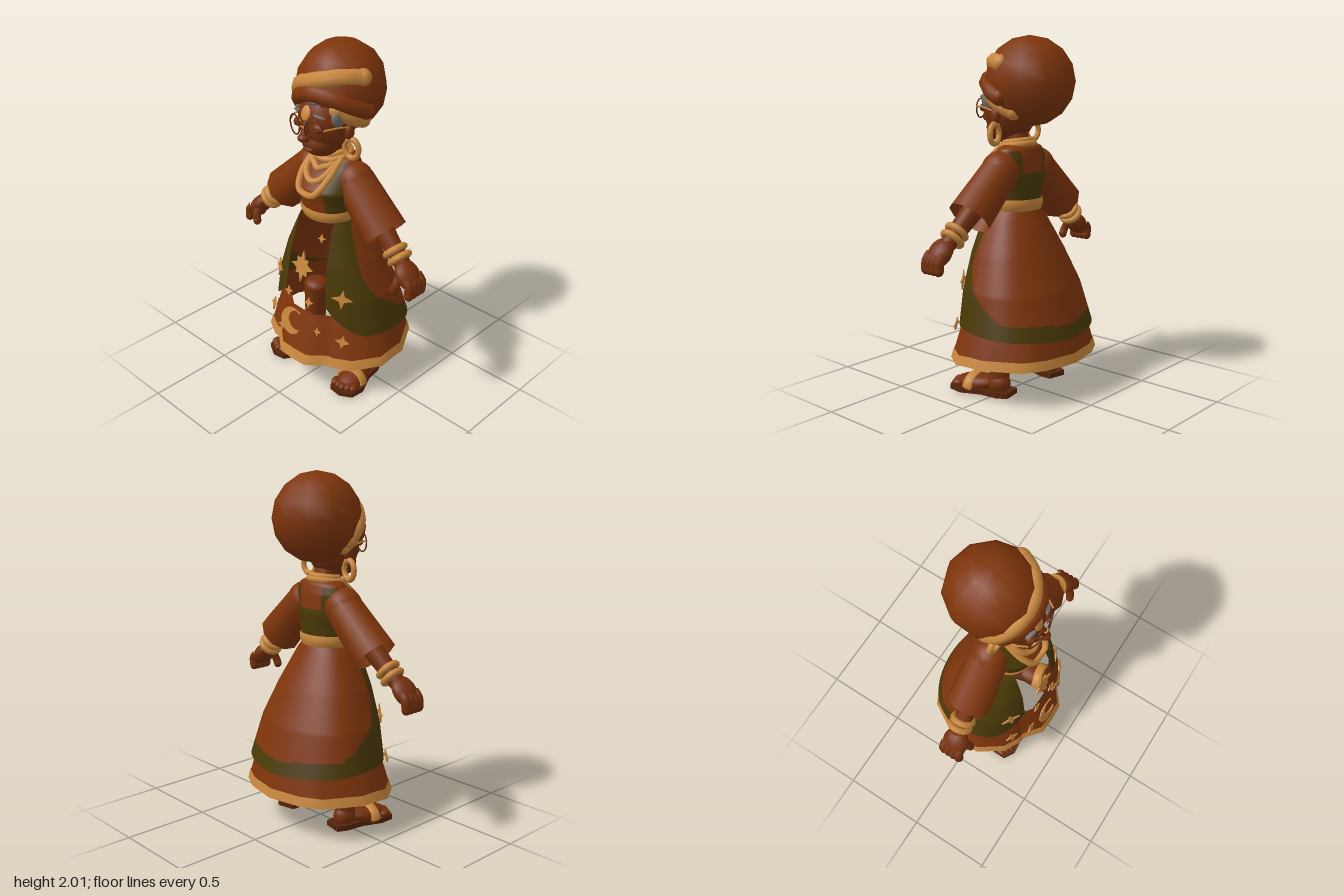
import * as THREE from 'three';
import { mergeVertices } from 'three/addons/utils/BufferGeometryUtils.js';

const V = (x, y, z) => new THREE.Vector3(x, y, z);
const lerp = THREE.MathUtils.lerp;
const mat = (name, color, side = THREE.FrontSide) =>
  Object.assign(new THREE.MeshStandardMaterial({ color, side }), { name });

// piecewise-linear lookup in rows of [y, ...values], y falling
function profile(rows, y) {
  for (let i = 1; i < rows.length; i++) {
    if (y >= rows[i][0] || i === rows.length - 1) {
      const a = rows[i - 1], b = rows[i];
      const t = THREE.MathUtils.clamp((a[0] - y) / (a[0] - b[0]), 0, 1);
      return a.map((v, k) => lerp(v, b[k], t));
    }
  }
}

// surface from f(u, v); rule(u, v, centre) picks a material index per cell
function loft(nu, nv, f, rule = () => 0) {
  const pos = [], cells = [];
  for (let j = 0; j <= nv; j++) for (let i = 0; i <= nu; i++) pos.push(...f(i / nu, j / nv));
  for (let j = 0; j < nv; j++) for (let i = 0; i < nu; i++) {
    const a = j * (nu + 1) + i, b = a + nu + 1;
    const u = (i + 0.5) / nu, v = (j + 0.5) / nv;
    (cells[rule(u, v, f(u, v))] ??= []).push(a, b, a + 1, b, b + 1, a + 1);
  }
  let g = new THREE.BufferGeometry();
  g.setAttribute('position', new THREE.Float32BufferAttribute(pos, 3));
  g.setIndex(cells.flat());
  let start = 0;
  cells.forEach((c, k) => { g.addGroup(start, c.length, k); start += c.length; });
  g = mergeVertices(g, 1e-5);
  g.computeVertexNormals();
  return g;
}

const SKIRT = [[1.04, 0.15, 0.21, -0.08], [1, 0.18, 0.22, -0.1], [0.8, 0.28, 0.265, -0.2],
  [0.6, 0.36, 0.29, -0.29], [0.35, 0.415, 0.305, -0.368]];
const TORSO = [[1.42, 0.07, 0.08, -0.03], [1.385, 0.15, 0.1, -0.07], [1.33, 0.185, 0.15, -0.085],
  [1.22, 0.19, 0.24, -0.095], [1.15, 0.165, 0.225, -0.09], [1.03, 0.15, 0.205, -0.08]];
const HEM = [[0, 0.385], [0.1, 0.38], [0.2, 0.3], [0.24, 0.295], [0.34, 0.24], [0.44, 0.1],
  [0.435, -0.08], [0.32, -0.28], [0.2, -0.345], [0, -0.385]];

function ringPoint(rows, y, a, p = 1) {
  const [, w, f, b] = profile(rows, y), c = Math.cos(a);
  return [w * Math.sin(a), y, (f + b) / 2 + (f - b) / 2 * Math.sign(c) * Math.abs(c) ** p];
}

export function createModel() {
  const root = new THREE.Group();
  const D = THREE.DoubleSide;
  const cloth = mat('rustCloth', 0x7e350b, D), skin = mat('skin', 0x74300b);
  const gold = mat('gold', 0xc8873d, D), olive = mat('olive', 0x4a3906, D);
  const grey = mat('greyHair', 0x706a64), sole = mat('sandalSole', 0x56240b);

  const add = (name, geo, m, p = [0, 0, 0], r = [0, 0, 0], s = [1, 1, 1], parent = root) => {
    const o = new THREE.Mesh(geo, m);
    o.name = name;
    o.position.set(...p); o.rotation.set(...r); o.scale.set(...s);
    parent.add(o);
    return o;
  };
  const ball = (name, m, p, s, r, parent) => add(name, new THREE.SphereGeometry(1, 16, 12), m, p, r, s, parent);
  const tube = (name, m, pts, r, parent, seg = 24) =>
    add(name, new THREE.TubeGeometry(new THREE.CatmullRomCurve3(pts), seg, r, 8), m, undefined, undefined, undefined, parent);
  const limb = (name, m, a, b, ra, rb, parent, open = false, sides = 12) => {
    const d = b.clone().sub(a);
    const o = add(name, new THREE.CylinderGeometry(rb, ra, d.length(), sides, 1, open), m, undefined, undefined, undefined, parent);
    o.position.copy(a).add(b).multiplyScalar(0.5);
    o.quaternion.setFromUnitVectors(V(0, 1, 0), d.normalize());
    return o;
  };

  // underskirt with gold hem, open above the front panel
  const under = (v0, v1, grow) => (u, v) => {
    const s = (u < 0.5 ? u : 1 - u) * 2 * (HEM.length - 1), k = Math.min(Math.floor(s), HEM.length - 2);
    const x = lerp(HEM[k][0], HEM[k + 1][0], s - k) * (u < 0.5 ? 1 : -1);
    const z = lerp(HEM[k][1], HEM[k + 1][1], s - k), t = lerp(v1, v0, v);
    const low = 0.21 - 0.03 * Math.max(0, z / 0.385);
    return [x * lerp(1, 0.82, t) * grow, lerp(low, 0.475, t), z * lerp(1, z > 0 ? 0.75 : 0.85, t) * grow];
  };
  add('underskirt', loft(36, 4, under(0, 1, 1)), cloth);
  add('underskirtHem', loft(36, 1, under(0, 0.2, 1.012)), gold);

  // overskirt: olive front panels and back hem around a rust back
  const bottom = (h) => (h < 0.3 ? 0.39 + 0.16 * (1 - h / 0.3) ** 2 : lerp(0.395, 0.35, (h - 0.3) / 0.7));
  const half = (u) => 1 - Math.abs(2 * u - 1);
  const over = (u, v) => {
    const y = lerp(1.04, bottom(half(u)), v);
    const a0 = Math.asin(Math.min(0.9, (0.125 + 0.035 * v) / profile(SKIRT, y)[1]));
    return ringPoint(SKIRT, y, lerp(a0, 2 * Math.PI - a0, u), 0.8);
  };
  add('overskirt', loft(140, 64, over, (u, v, c) => {
    const h = half(u);
    return h > 0.3 && c[1] > bottom(h) + 0.08 + 0.26 * (Math.max(0, 0.62 - h) / 0.32) ** 2 ? 1 : 0;
  }), [olive, cloth]);

  // bodice and belt
  add('bodice', loft(120, 48, (u, v) => ringPoint(TORSO, lerp(1.42, 1.03, v), u * 2 * Math.PI, 0.9),
    (u, v, [x, y, z]) => {
      if (y > 1.375) return 0;
      if (z > 0.03) return Math.abs(x) > 0.09 ? 1 : 0;
      return y < 1.25 || Math.abs(x) > 0.085 ? 1 : 0;
    }), [cloth, olive]);
  add('belt', loft(32, 4, (u, v) => {
    const [x, y, z] = ringPoint(TORSO, lerp(1.1, 1.035, v), u * 2 * Math.PI, 0.9);
    const g = 1.03 + 0.05 * Math.sin(v * Math.PI);
    return [x * g, y, (z - 0.06) * g + 0.06];
  }), gold);

  // necklaces
  for (const [r, y, z] of [[0.075, 1.415, 0.035], [0.095, 1.395, 0.04]])
    add('collarRing', new THREE.TorusGeometry(r, 0.018, 8, 24), gold, [0, y, z], [Math.PI / 2 + 0.15, 0, 0]);
  for (const [w, y] of [[0.065, 1.33], [0.08, 1.27], [0.095, 1.2]]) {
    const at = (x, h) => V(x, h, profile(TORSO, h)[2] * (1 - 4 * x * x) + 0.012);
    tube('necklace', gold, [V(-w, 1.395, 0.07), at(-w, lerp(1.385, y, 0.5)), at(-w * 0.6, y + 0.017), at(0, y),
      at(w * 0.6, y + 0.017), at(w, lerp(1.385, y, 0.5)), V(w, 1.395, 0.07)], 0.018);
  }

  // limbs, built for the left and mirrored
  for (const side of [1, -1]) {
    const S = (x, y, z) => V(side * x, y, z);
    const label = side > 0 ? 'left' : 'right';
    const arm = new THREE.Group(), leg = new THREE.Group();
    arm.name = label + 'Arm'; leg.name = label + 'Leg';
    root.add(arm, leg);

    ball('shoulder', cloth, [side * 0.15, 1.262, 0.03], [0.112, 0.112, 0.108], undefined, arm);
    limb('sleeve', cloth, S(0.15, 1.262, 0.03), S(0.39, 1.03, 0.04), 0.11, 0.126, arm, true, 10);
    limb('forearm', skin, S(0.25, 1.17, 0.03), S(0.54, 0.9, 0.06), 0.068, 0.045, arm);
    const dir = S(0.29, -0.27, 0.03).normalize();
    for (const [x, y] of [[0.472, 0.965], [0.505, 0.932]])
      add('bracelet', new THREE.TorusGeometry(0.055, 0.019, 8, 20), gold, [side * x, y, 0.053], undefined, undefined, arm)
        .quaternion.setFromUnitVectors(V(0, 0, 1), dir);
    ball('palm', skin, [side * 0.58, 0.865, 0.07], [0.05, 0.09, 0.076], [0, 0, side * 0.7], arm);
    for (let i = 0; i < 4; i++) {
      const z = 0.022 + i * 0.032;
      tube('finger', skin, [S(0.6, 0.865, z), S(0.632, 0.83, z), S(0.634, 0.785, z + 0.004)], 0.027, arm, 6);
      ball('fingertip', skin, [side * 0.634, 0.785, z + 0.004], [0.027, 0.032, 0.027], undefined, arm);
    }
    tube('thumb', skin, [S(0.56, 0.87, 0.11), S(0.555, 0.825, 0.135), S(0.545, 0.79, 0.142)], 0.024, arm, 6);
    ball('thumbTip', skin, [side * 0.545, 0.79, 0.142], [0.024, 0.028, 0.024], undefined, arm);

    // leg ending just under the skirt front, and sandal with toes turned out
    limb('shin', skin, S(0.215, 0.06, -0.01), S(0.175, 0.44, 0.01), 0.058, 0.076, leg);
    ball('knee', skin, [side * 0.175, 0.44, 0.01], [0.076, 0.045, 0.076], undefined, leg);
    const foot = new THREE.Group();
    foot.name = 'foot';
    foot.position.set(side * 0.235, 0, 0.065);
    foot.rotation.y = side * 0.2;
    leg.add(foot);
    const oval = new THREE.Shape([[-0.055, -0.165], [0.055, -0.165], [0.075, -0.1], [0.07, 0], [0.1, 0.12],
      [0.075, 0.2], [0, 0.225], [-0.075, 0.2], [-0.09, 0.12], [-0.065, 0], [-0.07, -0.1]].map(([x, z]) => new THREE.Vector2(x, -z)));
    add('sole', new THREE.ExtrudeGeometry(oval, { depth: 0.03, bevelEnabled: false }), sole, [0, 0, 0], [-Math.PI / 2, 0, 0], undefined, foot);
    ball('footTop', skin, [0, 0.045, 0.065], [0.078, 0.05, 0.14], [0.15, 0, 0], foot);
    ball('heel', skin, [0, 0.065, -0.08], [0.058, 0.065, 0.07], undefined, foot);
    add('strap', new THREE.TorusGeometry(0.078, 0.014, 8, 20, Math.PI), gold, [0, 0.025, 0.085], [-0.15, 0, 0], [1.02, 0.9, 2.3], foot);
    for (let i = -2; i <= 2; i++)
      ball('toe', skin, [i * 0.031, 0.042, 0.18 - Math.abs(i) * 0.01], [0.023, 0.02, 0.034], undefined, foot);

    // earrings, ears, side hair, spectacles and closed eyes
    add('earring', new THREE.TorusGeometry(0.047, 0.015, 8, 24), gold, [side * 0.16, 1.465, 0.065], [0, side * 0.15, 0], [0.95, 1.15, 1.1]);
    ball('ear', skin, [side * 0.148, 1.56, 0.07], [0.025, 0.045, 0.03]);
    ball('sideHair', grey, [side * 0.133, 1.64, 0.145], [0.024, 0.05, 0.034], [0.5, 0, 0]);
    ball('eyebrow', grey, [side * 0.08, 1.667, 0.225], [0.036, 0.007, 0.012], [0, side * 0.35, side * -0.2]);
    ball('eyelid', skin, [side * 0.068, 1.6, 0.222], [0.038, 0.025, 0.024]);
    tube('eyeLine', sole, [S(0.035, 1.6, 0.247), S(0.068, 1.59, 0.25), S(0.1, 1.6, 0.234)], 0.003, root, 8);
    add('lensRim', new THREE.TorusGeometry(0.054, 0.004, 6, 24), sole, [side * 0.07, 1.595, 0.254], [0, side * 0.3, 0]);
    tube('temple', gold, [S(0.12, 1.605, 0.24), S(0.155, 1.61, 0.17), S(0.155, 1.59, 0.08)], 0.005, root, 10);
  }

  // head
  limb('neck', skin, V(0, 1.36, 0.02), V(0, 1.5, 0.06), 0.068, 0.065);
  ball('head', skin, [0, 1.6, 0.09], [0.15, 0.185, 0.155]);
  ball('jaw', skin, [0, 1.49, 0.125], [0.108, 0.088, 0.112]);
  ball('nose', skin, [0, 1.54, 0.25], [0.034, 0.026, 0.045]);
  limb('noseBridge', skin, V(0, 1.55, 0.258), V(0, 1.63, 0.232), 0.024, 0.014);
  ball('lips', sole, [0, 1.477, 0.228], [0.042, 0.005, 0.014]);
  ball('lowerLip', skin, [0, 1.465, 0.228], [0.036, 0.012, 0.017]);
  ball('foreheadMark', gold, [-0.012, 1.665, 0.228], [0.032, 0.042, 0.012], [-0.35, 0, 0]);
  ball('frontHair', grey, [0, 1.725, 0.192], [0.055, 0.018, 0.03]);
  tube('spectacleBridge', gold, [V(-0.018, 1.6, 0.267), V(0, 1.608, 0.274), V(0.018, 1.6, 0.267)], 0.005, root, 6);

  // head wrap with rolled bands laid on its surface
  const C = V(-0.014, 1.75, -0.04), R = V(0.246, 0.25, 0.255);
  add('headWrap', new THREE.SphereGeometry(1, 11, 8), cloth, C.toArray(), [0, 0.2, 0], R.toArray());
  const wrap = (name, m, r, depth, dirs) => {
    const pts = dirs.map((d) => V(...d).sub(C).divide(R).normalize().multiplyScalar(depth).multiply(R).add(C));
    tube(name, m, pts, r);
    for (const p of [pts[0], pts.at(-1)]) ball(name + 'End', m, p.toArray(), [r, r, r]);
  };
  wrap('upperBand', gold, 0.05, 0.87, [[-0.22, 1.6, 0.05], [-0.21, 1.7, 0.12], [-0.12, 1.79, 0.18], [0.02, 1.84, 0.18], [0.14, 1.87, 0.11], [0.2, 1.86, 0.01]]);
  wrap('frontFold', cloth, 0.048, 0.92, [[-0.17, 1.66, 0.12], [-0.12, 1.72, 0.18], [0, 1.765, 0.21], [0.13, 1.75, 0.16], [0.2, 1.7, 0.08], [0.22, 1.66, 0]]);
  wrap('lowerBandLeft', gold, 0.046, 0.87, [[0.14, 1.67, 0.17], [0.17, 1.625, 0.1], [0.18, 1.585, 0.02], [0.16, 1.555, -0.05]]);
  wrap('lowerBandRight', gold, 0.046, 0.87, [[-0.15, 1.67, 0.16], [-0.18, 1.62, 0.09], [-0.18, 1.58, 0.02]]);

  // star and moon ornaments
  const starGeo = (r, n, inner, tall) => {
    const pts = [];
    for (let i = 0; i < 2 * n; i++) {
      const a = i * Math.PI / n, q = i % 2 ? inner * r : (n > 4 && i % 4 ? 0.72 * r : r);
      pts.push(new THREE.Vector2(Math.sin(a) * q, Math.cos(a) * q * tall));
    }
    return new THREE.ExtrudeGeometry(new THREE.Shape(pts), { depth: 0.008, bevelEnabled: false });
  };
  const panelZ = (y) => 0.268 + (0.86 - y) * 0.2;
  add('largeStar', starGeo(0.082, 8, 0.5, 1.17), gold, [0, 0.765, panelZ(0.765)], [-0.2, 0, 0]);
  for (const [x, y, z, r] of [[0.07, 0.565, 0.31, 0.032], [-0.09, 0.575, 0.31, 0.03], [0.07, 0.935, 0.2, 0.027],
    [-0.15, 0.31, 0.315, 0.036], [0.13, 0.39, 0.305, 0.026]])
    add('smallStar', starGeo(r, 4, 0.42, 1), gold, [x, y, z], [-0.25, 0, 0.15]);
  for (const s of [1, -1]) {
    add('skirtStar', starGeo(0.06, 4, 0.36, 1), gold, [s * 0.25, 0.63, 0.228], [-0.15, s * 0.55, 0]);
    add('hemStar', starGeo(0.042, 4, 0.42, 1), gold, [s * 0.28, 0.37, 0.256], [-0.25, s * 0.45, 0]);
  }
  const moon = new THREE.Shape();
  moon.absarc(0, 0, 0.08, 0.95, 5.6, false);
  moon.absarc(0.035, 0.015, 0.058, 5.2, 1.1, true);
  add('moon', new THREE.ExtrudeGeometry(moon, { depth: 0.008, bevelEnabled: false }), gold, [-0.03, 0.415, 0.352], [-0.22, 0, 0]);
  return root;
}
